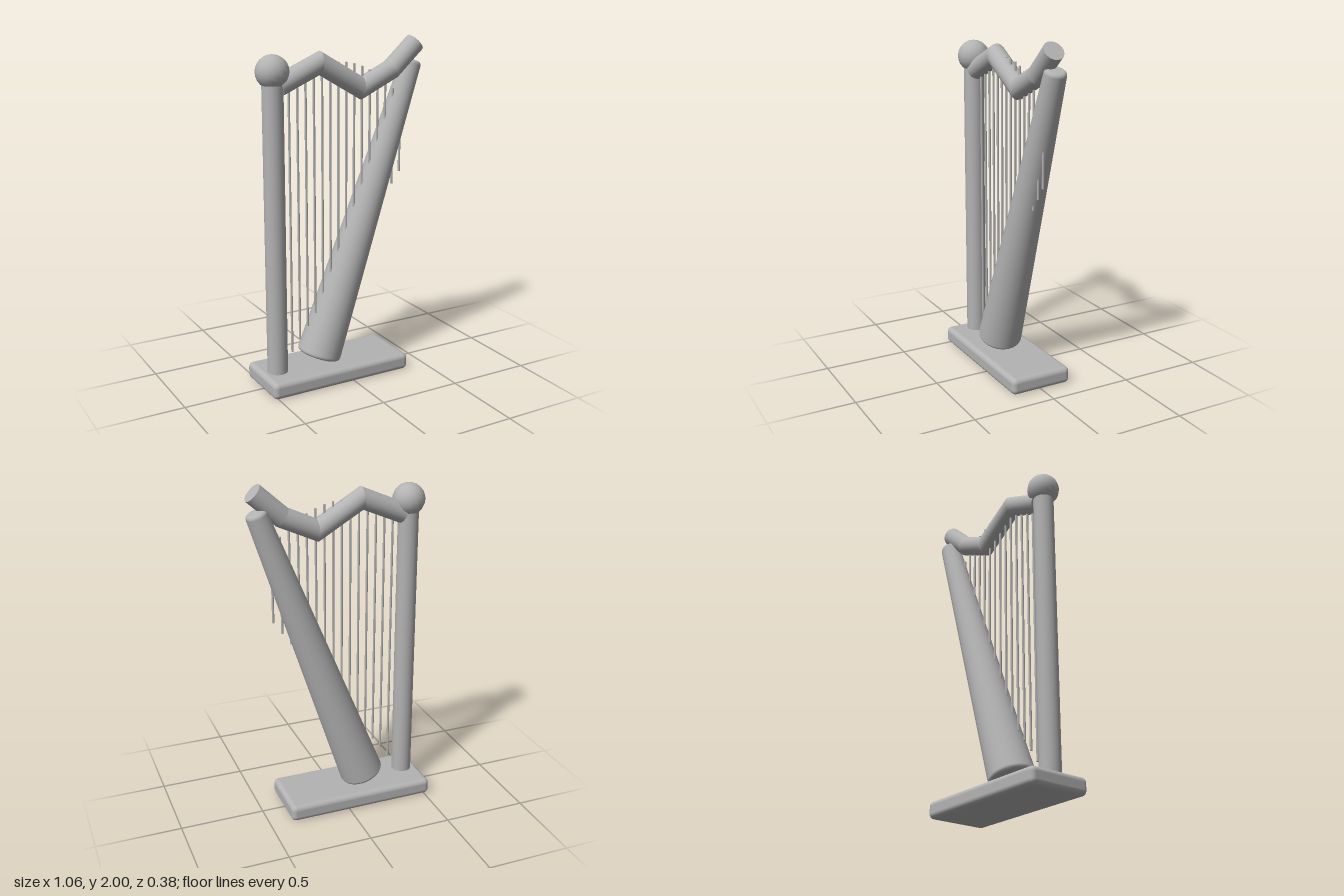
import * as THREE from 'three';
import { RoundedBoxGeometry } from 'three/addons/geometries/RoundedBoxGeometry.js';

const grey = new THREE.MeshStandardMaterial({ color: 0xb3b3b3 });
grey.name = 'grey';
const Z = 0.02; // plane of the post, neck and strings

function add(group, name, geometry, x = 0, y = 0, z = 0) {
  const mesh = new THREE.Mesh(geometry, grey);
  mesh.name = name;
  mesh.position.set(x, y, z);
  group.add(mesh);
  return mesh;
}

// Round bar along a bent path in the xy plane, with mitred joints and flat ends
function mitredBar(points, radius, sides) {
  const path = points.map(p => new THREE.Vector2(...p));
  const dirs = path.slice(1).map((p, i) => p.clone().sub(path[i]).normalize());
  const rings = path.map((p, i) => {
    const before = dirs[Math.max(i - 1, 0)], after = dirs[Math.min(i, dirs.length - 1)];
    const t = before.clone().add(after).normalize();
    return { p, n: new THREE.Vector2(-t.y, t.x), r: radius, miter: 1 / t.dot(after) };
  });
  rings.unshift({ ...rings[0], r: 0 });
  rings.push({ ...rings[rings.length - 1], r: 0 });

  const pos = [], index = [];
  // Each band has its own vertices, so the joints stay sharp
  for (let k = 0; k < rings.length - 1; k++) {
    const base = pos.length / 3;
    for (const { p, n, r, miter } of [rings[k], rings[k + 1]]) {
      for (let j = 0; j < sides; j++) {
        const a = (j / sides) * Math.PI * 2, c = Math.cos(a) * r * miter;
        pos.push(p.x + n.x * c, p.y + n.y * c, Math.sin(a) * r);
      }
    }
    for (let j = 0; j < sides; j++) {
      const a = base + j, b = base + (j + 1) % sides;
      index.push(a, b, a + sides, b, b + sides, a + sides);
    }
  }
  const g = new THREE.BufferGeometry();
  g.setAttribute('position', new THREE.Float32BufferAttribute(pos, 3));
  g.setIndex(index);
  g.computeVertexNormals();
  return g;
}

// Tapered round body with softened rims
function taperedBody(r0, r1, length, soft, sides) {
  const profile = [new THREE.Vector2(0, 0)];
  for (let i = 0; i <= 4; i++) {
    const a = (i / 4) * Math.PI / 2;
    profile.push(new THREE.Vector2(r0 - soft + soft * Math.sin(a), soft - soft * Math.cos(a)));
  }
  for (let i = 0; i <= 4; i++) {
    const a = (i / 4) * Math.PI / 2;
    profile.push(new THREE.Vector2(r1 - soft + soft * Math.cos(a), length - soft + soft * Math.sin(a)));
  }
  profile.push(new THREE.Vector2(0, length));
  return new THREE.LatheGeometry(profile, sides);
}

export function createModel() {
  const harp = new THREE.Group();
  harp.name = 'harp';

  // Foot and upright
  add(harp, 'base', new RoundedBoxGeometry(0.9, 0.1, 0.38, 4, 0.03), -0.08, 0.05, 0);
  add(harp, 'pillar', new THREE.CylinderGeometry(0.06, 0.06, 1.72, 24), -0.43, 0.94, Z);
  add(harp, 'finial', new THREE.SphereGeometry(0.094, 16, 12), -0.43, 1.843, Z);

  // Leaning sound box
  const box = add(harp, 'soundBox', taperedBody(0.132, 0.062, 1.835, 0.022, 32), -0.15, 0.135, 0);
  box.rotation.z = -0.35;

  // Zigzag neck
  const neckPath = [[-0.395, 1.765], [-0.142, 1.875], [0.125, 1.72], [0.325, 1.813], [0.487, 1.96]];
  add(harp, 'neck', mitredBar(neckPath, 0.059, 24), 0, 0, Z);

  // Strings, rising at the bottom and arched along the top
  const strings = new THREE.Group();
  strings.name = 'strings';
  harp.add(strings);
  for (let i = 0; i < 15; i++) {
    const low = 0.2 + 0.072 * i, high = 1.875 - 0.0035 * (i - 6) ** 2;
    add(strings, 'string', new THREE.CylinderGeometry(0.007, 0.007, high - low, 8),
      -0.333 + 0.0517 * i, (low + high) / 2, Z);
  }
  return harp;
}
